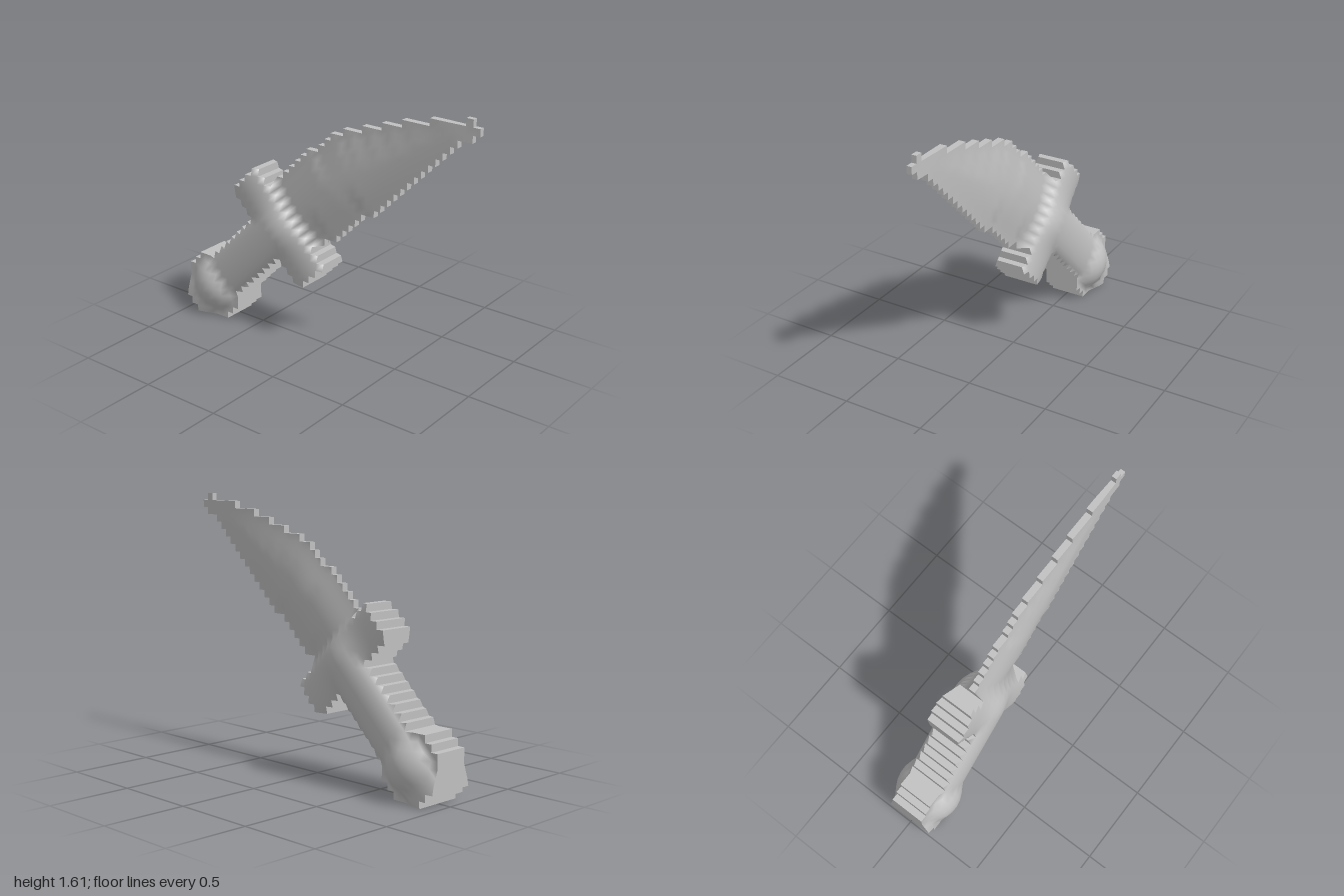
import * as THREE from 'three';

const U = 2 / 46; // size of one outline step
// Outline: first and last column of each row, from the bottom up
const left = [2, 1, 0, 0, 0, 0, 0, 1, 2, 5, 6, 7, 8, 9, 10, 11, 12, 11, 10, 9, 9, 10, 15, 16, 17, 18, 19, 20, 22, 23, 24, 26, 29, 32, 35, 39, 44];
const right = [7, 8, 9, 9, 9, 10, 11, 12, 13, 14, 15, 16, 24, 23, 22, 23, 25, 26, 27, 28, 29, 31, 32, 33, 34, 35, 36, 37, 38, 39, 40, 41, 42, 43, 45, 46, 45];
// Separate ends of the guard: row, first and last column
const guardEnds = [[9, 19, 21], [10, 18, 22], [11, 17, 23], [22, 11, 14], [23, 12, 13]];

const filled = (c, r) => (c >= left[r] && c < right[r]) ||
  guardEnds.some(([row, a, b]) => row === r && c >= a && c < b);

const empty = [];
for (let r = -1; r <= 37; r++) for (let c = -1; c <= 46; c++) if (!filled(c, r)) empty.push([c, r]);

// Distance to the outline, in steps
function edgeDistance(c, r) {
  let best = 100;
  for (const [a, b] of empty) {
    const dx = Math.max(a - c, 0, c - a - 1), dy = Math.max(b - r, 0, r - b - 1);
    best = Math.min(best, dx * dx + dy * dy);
  }
  return Math.sqrt(best);
}

const dome = (q, p = 0.6) => Math.pow(Math.max(0, 1 - q * q), p);

// Half thickness: t runs along the dagger, s across it
function thickness(c, r) {
  const t = (c + r) / Math.SQRT2, s = (c - r) / Math.SQRT2;
  let h = 0.012;
  if (t < 23) {
    h = 0.1 + 0.055 * dome(s / 3.3);
    const ball = 0.2 * 0.2 - ((c - 4.6) ** 2 + (r - 4.6) ** 2) * U * U;
    if (t < 12) h = Math.max(h, 0.11, Math.sqrt(Math.max(0, ball)));
    if (Math.abs(s) > 3.6 && t > 14) h = 0;
  }
  const q = (t - 22.7) / 3.7;
  if (Math.abs(q) < 1) {
    const core = 0.115 + 0.04 * Math.exp(-s * s / 9);
    h = Math.max(h, 0.07 + (core - 0.07) * dome(q));
  }
  if (t > 20) {
    const core = THREE.MathUtils.lerp(0.057, 0.015, THREE.MathUtils.clamp((t - 34) / 23, 0, 1));
    const edge = Math.min(0.02, core);
    const k = Math.min(edgeDistance(c, r) / 5, 1);
    h = Math.max(h, edge + (core - edge) * Math.sin(k * Math.PI / 2));
  }
  return h;
}

// Cached height and smooth normal at each outline corner
const cache = new Map();
function corner(c, r) {
  const key = c * 100 + r;
  if (!cache.has(key)) {
    const e = 0.5;
    const n = new THREE.Vector3(
      (thickness(c - e, r) - thickness(c + e, r)) / (2 * e * U),
      (thickness(c, r - e) - thickness(c, r + e)) / (2 * e * U), 1).normalize();
    cache.set(key, { x: c * U - 1, y: r * U, z: thickness(c, r), n });
  }
  return cache.get(key);
}

// One part of the dagger, made of the cells that belong to it
function buildPart(name, belongs, material) {
  const pos = [], nor = [];
  const put = (p, side, n) => {
    pos.push(p.x, p.y, p.z * side);
    if (n) nor.push(n[0], n[1], 0);
    else nor.push(p.n.x, p.n.y, p.n.z * side);
  };
  for (let r = 0; r < 37; r++) for (let c = 0; c < 46; c++) {
    if (!filled(c, r) || !belongs((c + r + 1) / Math.SQRT2)) continue;
    const q = [corner(c, r), corner(c + 1, r), corner(c + 1, r + 1), corner(c, r + 1)];
    // Front and back faces
    for (const i of [0, 1, 2, 0, 2, 3]) put(q[i], 1);
    for (const i of [0, 2, 1, 0, 3, 2]) put(q[i], -1);
    // Flat stepped rim
    [[0, -1], [1, 0], [0, 1], [-1, 0]].forEach((n, i) => {
      if (filled(c + n[0], r + n[1])) return;
      const a = q[i], b = q[(i + 1) % 4];
      for (const [p, side] of [[a, -1], [b, -1], [b, 1], [a, -1], [b, 1], [a, 1]]) put(p, side, n);
    });
  }
  const geometry = new THREE.BufferGeometry();
  geometry.setAttribute('position', new THREE.Float32BufferAttribute(pos, 3));
  geometry.setAttribute('normal', new THREE.Float32BufferAttribute(nor, 3));
  const mesh = new THREE.Mesh(geometry, material);
  mesh.name = name;
  return mesh;
}

export function createModel() {
  const group = new THREE.Group();
  group.name = 'dagger';
  const grey = new THREE.MeshStandardMaterial({ color: 0xc0c0c0 });
  grey.name = 'grey';
  group.add(
    buildPart('pommel', t => t < 11, grey),
    buildPart('handle', t => t >= 11 && t < 19.4, grey),
    buildPart('guard', t => t >= 19.4 && t < 26.3, grey),
    buildPart('blade', t => t >= 26.3, grey));
  return group;
}
